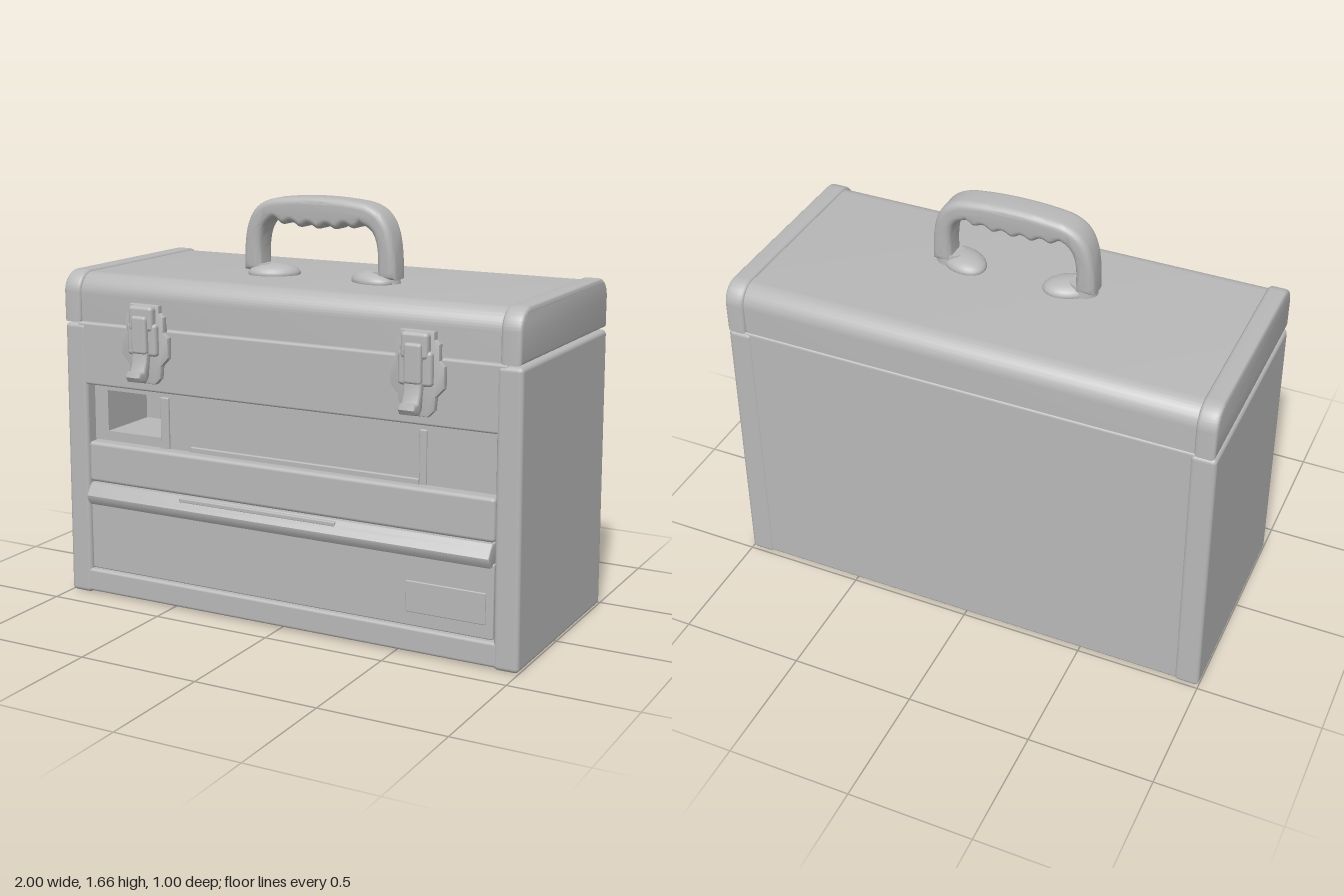
import * as THREE from 'three';
import { RoundedBoxGeometry } from 'three/addons/geometries/RoundedBoxGeometry.js';
import { toCreasedNormals } from 'three/addons/utils/BufferGeometryUtils.js';

const steel = new THREE.MeshStandardMaterial({ color: 0xb8b8b8 });
steel.name = 'grey steel';

function add(parent, name, geometry) {
  const mesh = new THREE.Mesh(geometry, steel);
  mesh.name = name;
  parent.add(mesh);
  return mesh;
}

// Rounded box given by its limits
function box(parent, name, x0, x1, y0, y1, z0, z1, r = 0.008) {
  const g = new RoundedBoxGeometry(x1 - x0, y1 - y0, z1 - z0, 3, r);
  g.translate((x0 + x1) / 2, (y0 + y1) / 2, (z0 + z1) / 2);
  return add(parent, name, g);
}

// Extrudes a shape drawn in (-z, y) along x
function alongX(parent, name, shape, x0, x1, bevel) {
  const g = new THREE.ExtrudeGeometry(shape, {
    depth: x1 - x0 - 2 * bevel, curveSegments: 12, bevelEnabled: bevel > 0,
    bevelSize: bevel, bevelThickness: bevel, bevelOffset: -bevel, bevelSegments: 3,
  });
  g.rotateY(Math.PI / 2).translate(x0 + bevel, 0, 0);
  return add(parent, name, toCreasedNormals(g, 0.6));
}

const polygon = (points) => new THREE.Shape(points.map(([x, y]) => new THREE.Vector2(x, y)));
const sideProfile = (points) => polygon(points.map(([z, y]) => [-z, y]));

// Lid cross-section with rounded upper corners
function lidProfile(back, front, y0, y1, r) {
  const s = new THREE.Shape();
  s.moveTo(-front, y0);
  s.lineTo(-back, y0);
  s.lineTo(-back, y1 - r);
  s.absarc(-back - r, y1 - r, r, 0, Math.PI / 2);
  s.lineTo(-front + r, y1);
  s.absarc(-front + r, y1 - r, r, Math.PI / 2, Math.PI);
  s.closePath();
  return s;
}

function makeBody() {
  const body = new THREE.Group();
  body.name = 'body';
  box(body, 'rearCase', -0.93, 0.93, 0.005, 1.142, -0.486, 0.06, 0.012);

  // Inner front slab with the open pocket on one side
  const slab = polygon([[-0.93, 0.01], [0.93, 0.01], [0.93, 1.14], [-0.93, 1.14]]);
  const pocket = [[-0.83, 0.69], [-0.83, 0.86], [-0.56, 0.86], [-0.56, 0.69]];
  slab.holes.push(new THREE.Path(pocket.map(([x, y]) => new THREE.Vector2(x, y))));
  const g = new THREE.ExtrudeGeometry(slab, { depth: 0.285, bevelEnabled: false });
  add(body, 'innerCase', g.translate(0, 0, 0.05));

  // End panels, leaning in slightly towards the lid
  for (const s of [-1, 1]) {
    const x0 = s < 0 ? -1 : 0.9;
    const panel = box(body, 'endPanel', x0, x0 + 0.1, 0, 1.136, -0.492, 0.392, 0.018);
    const p = panel.geometry.attributes.position;
    for (let i = 0; i < p.count; i++) p.setX(i, p.getX(i) * (1 - 0.009 * p.getY(i)));
  }
  box(body, 'bottomRail', -0.93, 0.93, 0.008, 0.105, 0.3, 0.39, 0.012);
  box(body, 'upperFrontPanel', -0.93, 0.93, 0.887, 1.142, 0.3, 0.388, 0.01);

  // Dividers seen in the open tray
  box(body, 'trayPost', -0.57, -0.53, 0.64, 0.86, 0.32, 0.345, 0.006);
  box(body, 'trayPost', 0.57, 0.6, 0.64, 0.86, 0.32, 0.342, 0.006);
  box(body, 'trayLedge', -0.43, 0.57, 0.64, 0.672, 0.32, 0.345, 0.005);
  return body;
}

function makeDrawers() {
  const drawers = new THREE.Group();
  drawers.name = 'drawers';
  box(drawers, 'upperDrawerFront', -0.895, 0.895, 0.482, 0.65, 0.31, 0.388, 0.015);
  box(drawers, 'lowerDrawerFront', -0.895, 0.895, 0.11, 0.4, 0.31, 0.381, 0.006);
  const lip = sideProfile([
    [0.34, 0.39], [0.4, 0.39], [0.418, 0.415], [0.42, 0.43], [0.4, 0.462], [0.385, 0.478], [0.34, 0.478],
  ]);
  alongX(drawers, 'drawerPull', lip, -0.888, 0.888, 0.004);
  box(drawers, 'pullStrip', -0.45, 0.25, 0.455, 0.474, 0.37, 0.404, 0.005);
  box(drawers, 'labelPlate', 0.54, 0.865, 0.165, 0.288, 0.377, 0.386, 0.004);
  return drawers;
}

function makeLid() {
  const lid = new THREE.Group();
  lid.name = 'lid';
  alongX(lid, 'lidPanel', lidProfile(-0.49, 0.388, 1.147, 1.338, 0.08), -0.93, 0.93, 0.003);
  for (const x0 of [-0.985, 0.905]) {
    alongX(lid, 'lidEndCap', lidProfile(-0.5, 0.4, 1.143, 1.346, 0.085), x0, x0 + 0.08, 0.015);
  }
  return lid;
}

function makeLatch(x) {
  const latch = new THREE.Group();
  latch.name = 'latch';
  latch.position.x = x;

  // Stepped backing plate, mirrored about its centre
  const half = [
    [0.045, 0.925], [0.07, 0.95], [0.075, 1.0], [0.108, 1.035], [0.108, 1.115],
    [0.088, 1.135], [0.088, 1.195], [0.068, 1.21], [0.068, 1.24],
  ];
  const outline = [...half, ...half.slice().reverse().map(([a, b]) => [-a, b])];
  const plate = new THREE.ExtrudeGeometry(polygon(outline), {
    depth: 0.022, bevelSize: 0.006, bevelThickness: 0.006, bevelOffset: -0.006, bevelSegments: 2,
  });
  add(latch, 'latchPlate', toCreasedNormals(plate.translate(0, 0, 0.385), 0.6));
  box(latch, 'latchCatch', -0.055, 0.055, 1.14, 1.238, 0.39, 0.444, 0.015);
  box(latch, 'latchBody', -0.068, 0.068, 1.04, 1.17, 0.39, 0.437, 0.015);
  box(latch, 'latchRidge', -0.035, 0.035, 1.05, 1.2, 0.4, 0.458, 0.012);

  // Curved lever with a turned-out finger tab
  const lever = sideProfile([
    [0.41, 1.08], [0.45, 1.07], [0.455, 1.02], [0.468, 0.985], [0.497, 0.985],
    [0.503, 0.965], [0.49, 0.945], [0.45, 0.938], [0.432, 0.96], [0.425, 1.01],
  ]);
  alongX(latch, 'latchLever', lever, -0.034, 0.034, 0.008);
  return latch;
}

function makeHandle() {
  const handle = new THREE.Group();
  handle.name = 'handle';
  handle.position.z = 0.03;

  // Arched grip with finger ripples along the underside
  const s = new THREE.Shape();
  s.moveTo(-0.335, 1.355);
  s.bezierCurveTo(-0.335, 1.55, -0.3, 1.625, -0.19, 1.645);
  s.quadraticCurveTo(0, 1.67, 0.19, 1.645);
  s.bezierCurveTo(0.3, 1.625, 0.335, 1.55, 0.335, 1.355);
  s.lineTo(0.255, 1.355);
  s.bezierCurveTo(0.265, 1.49, 0.25, 1.545, 0.195, 1.558);
  for (let i = 1; i <= 48; i++) {
    const x = 0.195 - (0.39 * i) / 48;
    const ripple = 0.008 * Math.cos((x / 0.39) * Math.PI * 10);
    s.lineTo(x, 1.55 - ripple + 0.016 * Math.pow(x / 0.195, 2) - 0.008);
  }
  s.bezierCurveTo(-0.25, 1.545, -0.265, 1.49, -0.255, 1.355);
  s.closePath();
  const g = new THREE.ExtrudeGeometry(s, {
    depth: 0.06, curveSegments: 16, bevelSize: 0.026, bevelThickness: 0.026, bevelOffset: -0.026, bevelSegments: 5,
  });
  g.translate(0, 0, -0.03);
  // Widen the grip towards the top
  const p = g.attributes.position;
  for (let i = 0; i < p.count; i++) p.setZ(i, p.getZ(i) * (0.92 + (p.getY(i) - 1.355) * 0.85));
  add(handle, 'grip', toCreasedNormals(g, 0.9));

  // Flat feet riveted to the lid
  for (const side of [-1, 1]) {
    const foot = add(handle, 'handleFoot', new THREE.SphereGeometry(1, 28, 14));
    foot.scale.set(0.105, 0.04, 0.075);
    foot.rotation.y = side * -0.5;
    foot.position.set(side * 0.22, 1.343, 0);
    const mount = add(handle, 'handleMount', new THREE.CylinderGeometry(0.055, 0.06, 0.06, 24));
    mount.position.set(side * 0.275, 1.352, 0);
    mount.scale.z = 0.85;
  }
  return handle;
}

export function createModel() {
  const toolbox = new THREE.Group();
  toolbox.name = 'toolbox';
  toolbox.add(makeBody(), makeDrawers(), makeLid(), makeLatch(-0.59), makeLatch(0.59), makeHandle());
  return toolbox;
}
